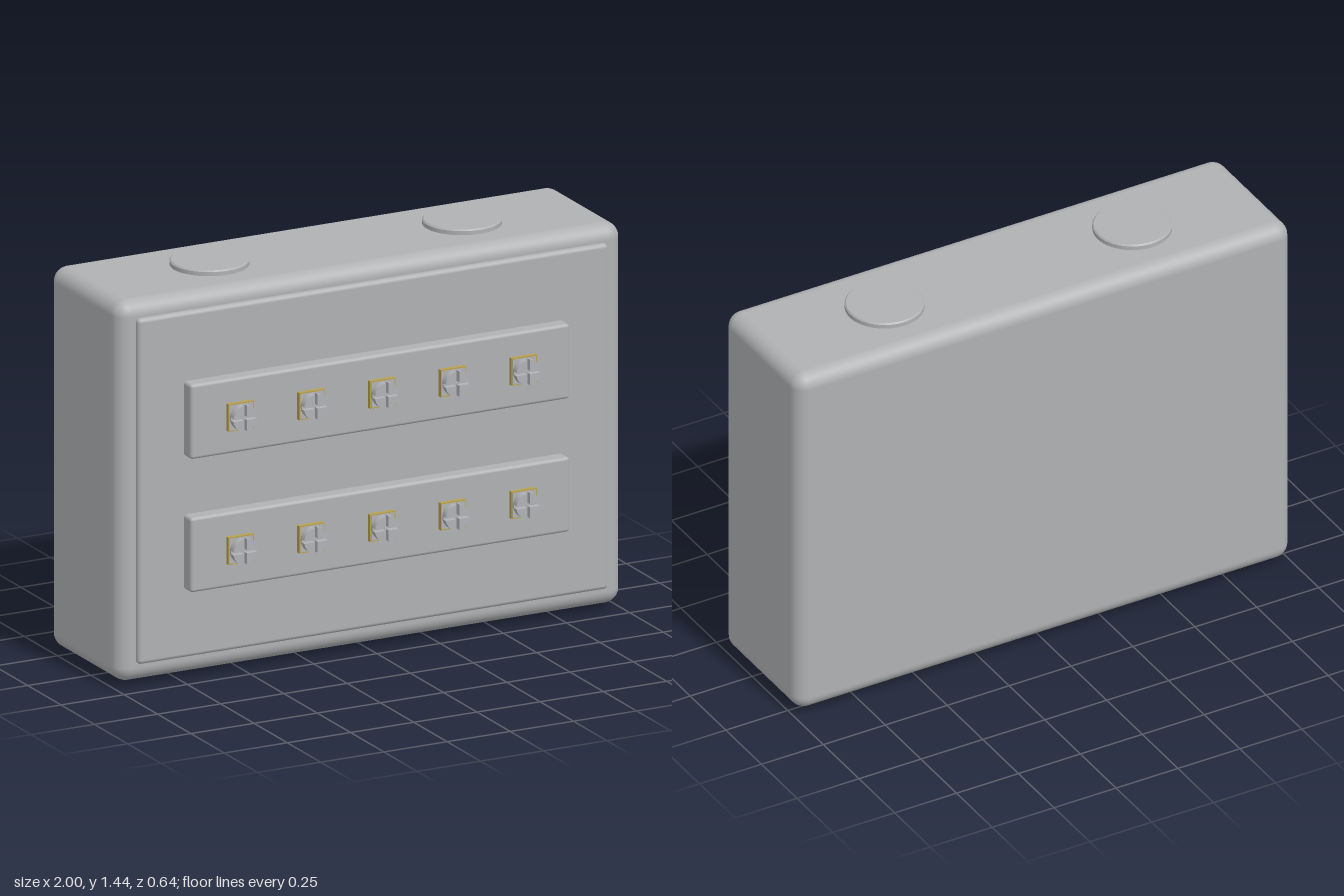
import * as THREE from 'three';
import { RoundedBoxGeometry } from 'three/addons/geometries/RoundedBoxGeometry.js';

export function createModel() {
  const root = new THREE.Group();
  root.name = 'terminalBox';
  const material = (name, color) => {
    const m = new THREE.MeshStandardMaterial({ color });
    m.name = name;
    return m;
  };
  const grey = material('grey housing', 0xb0b1b3);
  const steel = material('screw steel', 0xb0b2b6);
  const brass = material('brass', 0xb8a04c);

  const add = (parent, name, geometry, mat, x, y, z) => {
    const mesh = new THREE.Mesh(geometry, mat);
    mesh.name = name;
    mesh.position.set(x, y, z);
    parent.add(mesh);
    return mesh;
  };

  // Housing and its raised front cover
  add(root, 'housing', new RoundedBoxGeometry(2, 1.4, 0.525, 5, 0.055), grey, 0, 0.72, -0.0575);
  add(root, 'frontCover', new RoundedBoxGeometry(1.86, 1.27, 0.06, 3, 0.015), grey, 0, 0.725, 0.195);

  // Round cable knockouts, two on top and two underneath
  const knockoutProfile = [[0, -0.02], [0.14, -0.02], [0.14, 0.015], [0.135, 0.02], [0, 0.02]]
    .map(([r, y]) => new THREE.Vector2(r, y));
  const knockout = new THREE.LatheGeometry(knockoutProfile, 48).toNonIndexed();
  knockout.computeVertexNormals();
  for (const x of [-0.5, 0.5]) {
    add(root, 'topKnockout', knockout, grey, x, 1.42, -0.06);
    add(root, 'bottomKnockout', knockout, grey, x, 0.02, -0.06).rotation.x = Math.PI;
  }

  // One quadrant of a cross-slotted screw head
  const r = 0.047, h = 0.006;
  const a = Math.asin(h / r);
  const quadrant = new THREE.Shape();
  quadrant.moveTo(h, h);
  quadrant.lineTo(r * Math.cos(a), h);
  quadrant.absarc(0, 0, r, a, Math.PI / 2 - a, false);
  quadrant.lineTo(h, h);
  const quadrantGeo = new THREE.ExtrudeGeometry(quadrant, { depth: 0.02, bevelEnabled: false, curveSegments: 8 });
  const baseGeo = new THREE.CylinderGeometry(r, r - 0.003, 0.02, 32).rotateX(Math.PI / 2);
  const plateGeo = new THREE.BoxGeometry(0.1, 0.1, 0.018);
  const faceGeo = new THREE.BoxGeometry(0.092, 0.092, 0.004);

  const makeTerminal = () => {
    const terminal = new THREE.Group();
    terminal.name = 'terminal';
    add(terminal, 'brassPlate', plateGeo, brass, 0, 0, 0.284);
    add(terminal, 'plateFace', faceGeo, steel, 0, 0, 0.2925);
    add(terminal, 'screwBase', baseGeo, steel, 0, 0, 0.295);
    for (let i = 0; i < 4; i++) {
      add(terminal, 'screwHeadQuarter', quadrantGeo, steel, 0, 0, 0.305).rotation.z = i * Math.PI / 2;
    }
    return terminal;
  };

  // Two terminal strips with five screws each
  for (const y of [0.48, 0.97]) {
    add(root, 'terminalStrip', new RoundedBoxGeometry(1.5, 0.275, 0.08, 3, 0.012), grey, 0, y, 0.237);
    for (let i = -2; i <= 2; i++) {
      const terminal = makeTerminal();
      terminal.position.set(i * 0.28, y, 0);
      root.add(terminal);
    }
  }
  return root;
}
